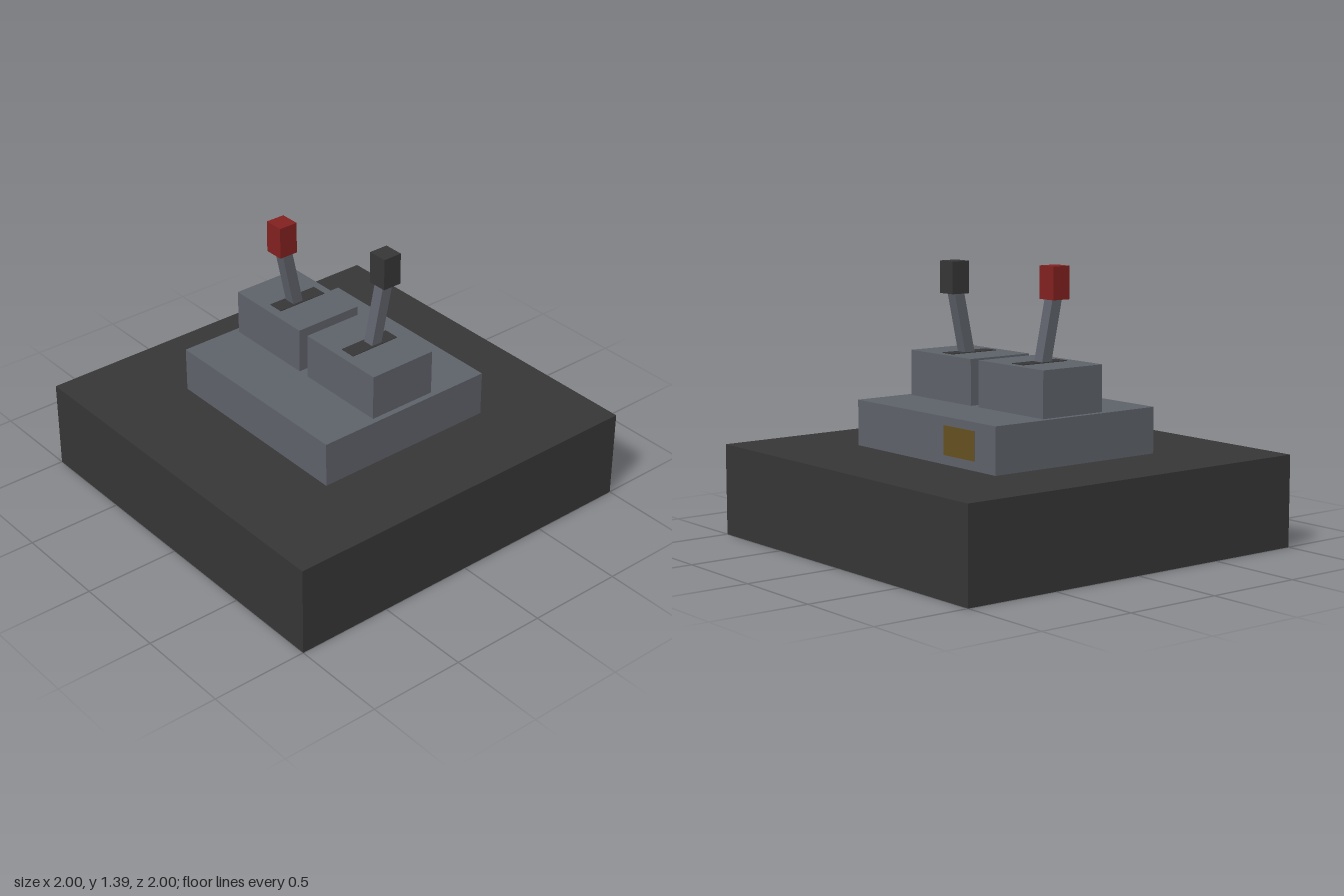
import * as THREE from 'three';

const material = (name, color, side = THREE.FrontSide) =>
  new THREE.MeshStandardMaterial({ name, color, side });

// Box spanning the given ranges; open ones have no underside
function box(name, mat, [x0, x1], [y0, y1], [z0, z1], open = false) {
  const geometry = new THREE.BoxGeometry(x1 - x0, y1 - y0, z1 - z0);
  if (open) {
    const index = Array.from(geometry.index.array);
    index.splice(18, 6); // the downward face
    geometry.setIndex(index);
    geometry.clearGroups();
  }
  const mesh = new THREE.Mesh(geometry, mat);
  mesh.name = name;
  mesh.position.set((x0 + x1) / 2, (y0 + y1) / 2, (z0 + z1) / 2);
  return mesh;
}

export function createModel() {
  const black = material('black', 0x363636, THREE.DoubleSide);
  const grey = material('grey', 0x5e626a);
  const red = material('red', 0x822020);
  const brass = material('brass', 0x655020);

  const model = new THREE.Group();
  model.name = 'leverConsole';

  // Hollow base and the block standing on it
  model.add(box('base', black, [-1, 1], [0, 0.464], [-1, 1], true));
  model.add(box('block', grey, [-0.498, 0.493], [0.464, 0.696], [-0.555, 0.555], true));

  // Plate on the side of the block
  model.add(box('sidePlate', brass, [0.49, 0.496], [0.51, 0.654], [-0.396, -0.16]));

  // Two housings, each with a slot and a lever leaning to its own side
  const tilt = 0.21;
  for (const [side, name, knobMat] of [[1, 'front', black], [-1, 'rear', red]]) {
    const z = side * 0.278;
    const unit = new THREE.Group();
    unit.name = name + 'Lever';
    unit.position.z = z;
    unit.add(box('housing', grey, [-0.186, 0.183], [0.696, 0.928], [-0.247, 0.247], true));
    unit.add(box('slot', black, [-0.139, 0.139], [0.926, 0.931], [-0.042, 0.042]));

    const shaft = box('shaft', grey, [-0.029, 0.029], [0.9, 1.26], [-0.03, 0.03]);
    shaft.position.x = side * 0.052;
    shaft.rotation.z = -side * tilt;
    unit.add(shaft);

    const cx = side * 0.093;
    unit.add(box('knob', knobMat, [cx - 0.051, cx + 0.051], [1.23, 1.393], [-0.052, 0.052]));
    model.add(unit);
  }
  return model;
}
